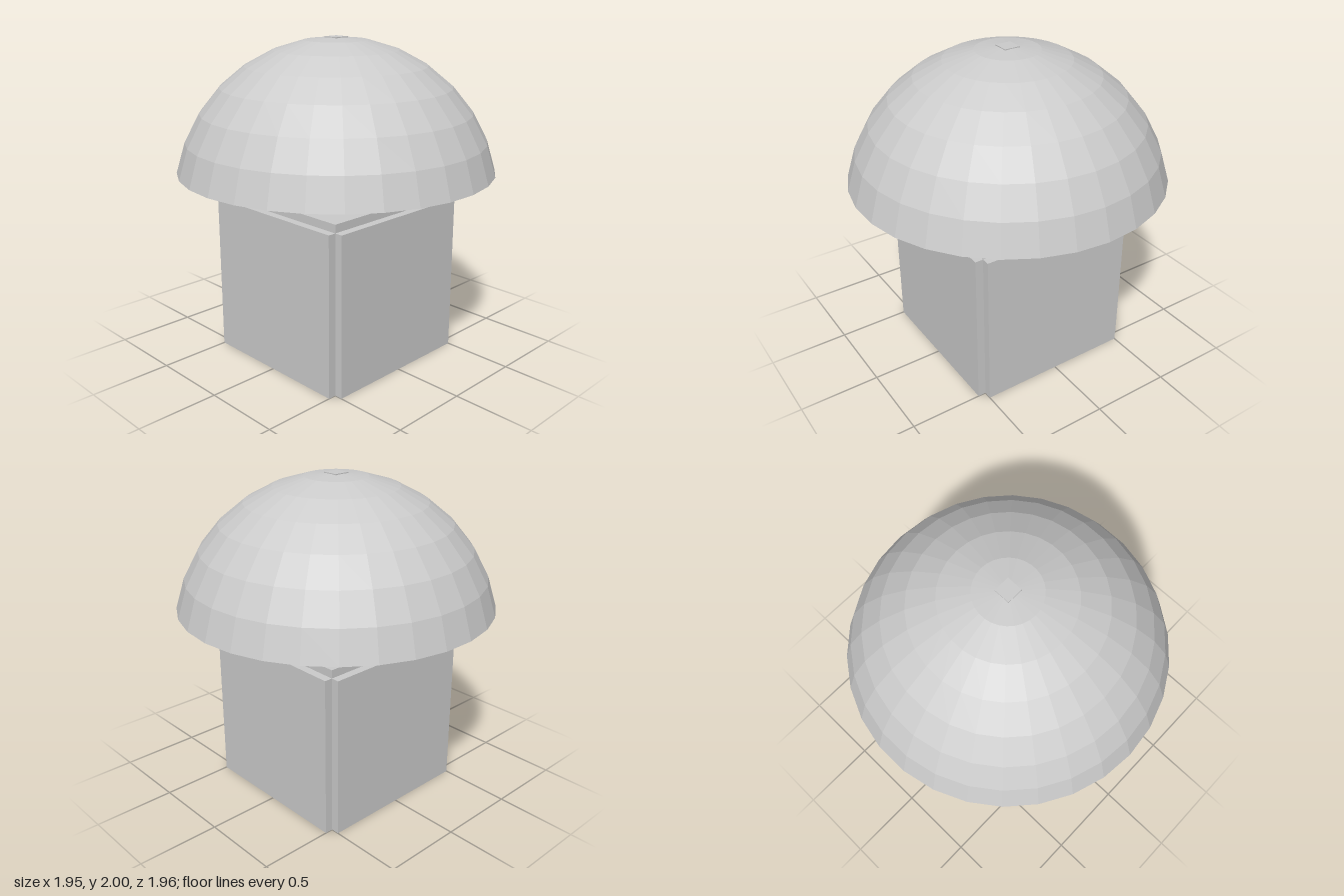
import * as THREE from 'three';

export function createModel() {
  const group = new THREE.Group();
  const solid = new THREE.MeshStandardMaterial({ color: 0xcccccc, flatShading: true });
  const shell = new THREE.MeshStandardMaterial({ color: 0xcccccc, flatShading: true, side: THREE.DoubleSide });

  const add = (name, geometry, y, material = solid) => {
    const mesh = new THREE.Mesh(geometry, material);
    mesh.name = name;
    mesh.position.y = y;
    group.add(mesh);
    return mesh;
  };

  // Four overlapping wall panels, leaving a small notch at each corner
  ['frontWall', 'leftWall', 'backWall', 'rightWall'].forEach((name, i) => {
    const angle = (i * Math.PI) / 2;
    const wall = add(name, new THREE.BoxGeometry(1, 1, 0.1), 0.5);
    wall.rotation.y = angle;
    wall.position.x = Math.sin(angle) * 0.5;
    wall.position.z = Math.cos(angle) * 0.5;
  });

  // Lid set between the walls, slightly proud of them
  add('lid', new THREE.BoxGeometry(1, 0.1, 1), 1);

  // Bulb seated in the lid
  add('bulb', new THREE.SphereGeometry(0.25, 10, 8).rotateY(Math.PI / 2), 1);

  // Square post reaching through the crown of the shade
  add('post', new THREE.BoxGeometry(0.1, 1, 0.1), 1.5);

  // Open dome shade: seven of the eight rings of a hemisphere
  const dome = new THREE.SphereGeometry(1, 30, 7, 0, Math.PI * 2, 0, (Math.PI * 7) / 16);
  add('domeShade', dome.rotateY(Math.PI / 2), 1, shell);

  return group;
}
